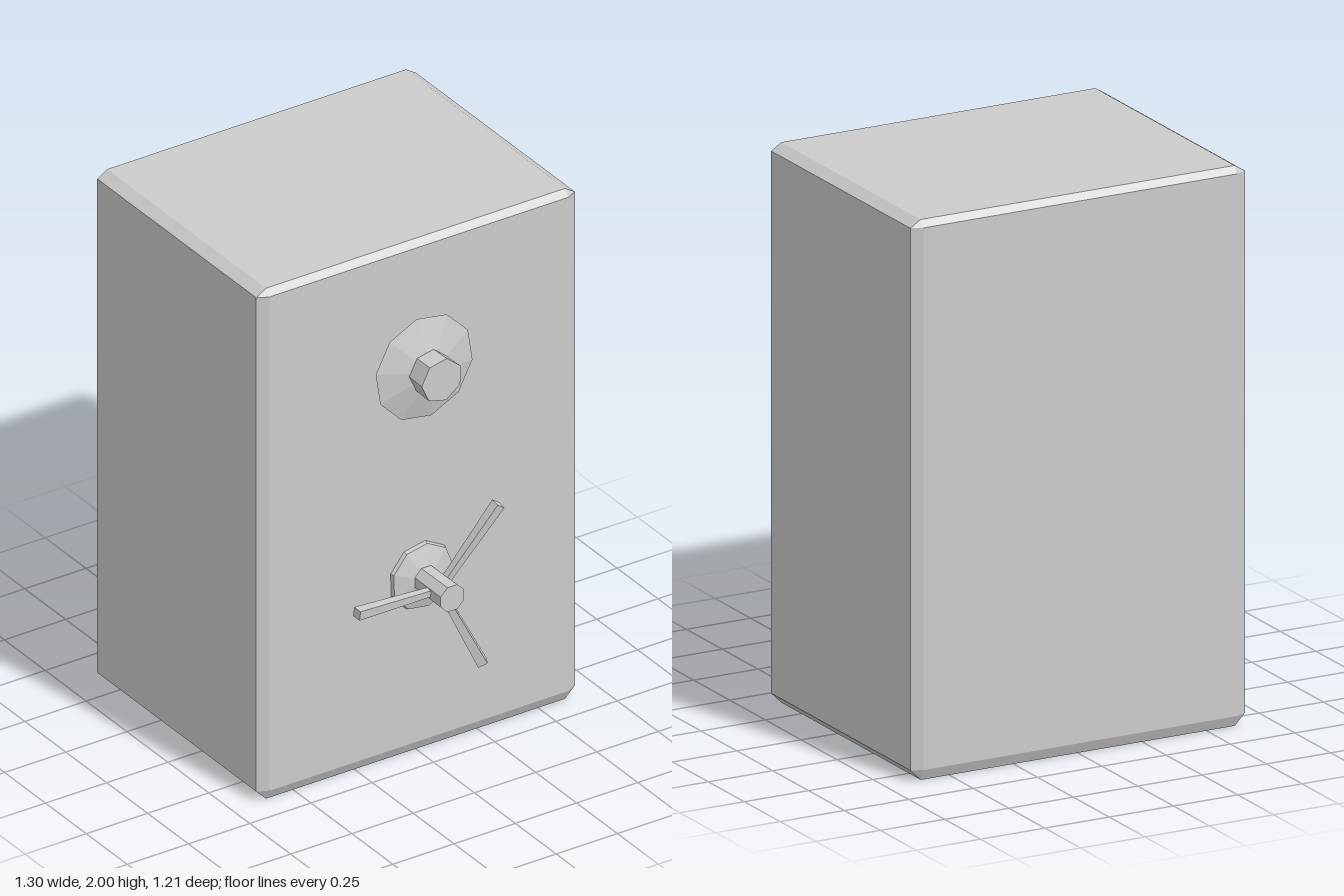
import * as THREE from 'three';
import { ConvexGeometry } from 'three/addons/geometries/ConvexGeometry.js';

const material = new THREE.MeshStandardMaterial({ color: 0xcccccc, flatShading: true });

function add(parent, name, geometry) {
  const mesh = new THREE.Mesh(geometry, material);
  mesh.name = name;
  parent.add(mesh);
  return mesh;
}

// Turned part facing +z: profile is [radius, z] pairs from back to front
function turned(profile, sides, spin = 0) {
  const points = profile.map(([r, z]) => new THREE.Vector2(r, z));
  return new THREE.LatheGeometry(points, sides).rotateY(spin).rotateX(Math.PI / 2);
}

// Box with bevelled edges: each corner is cut into three points
function bevelledBox() {
  const points = [];
  for (const sx of [-1, 1]) for (const top of [0, 1]) for (const front of [0, 1]) {
    const x = sx * 0.65, y = top ? 2 : 0, z = front ? 0.41 : -0.6;
    const xi = sx * 0.61, yi = top ? 1.975 : 0.04, zi = front ? 0.39 : -0.582;
    points.push(
      new THREE.Vector3(x, yi, zi),
      new THREE.Vector3(xi, y, zi),
      new THREE.Vector3(xi, yi, z)
    );
  }
  return new ConvexGeometry(points);
}

// Thin four-sided bar between two points, slightly thicker at its tip
function bar(from, to) {
  const a = new THREE.Vector3(...from), b = new THREE.Vector3(...to);
  const dir = b.clone().sub(a);
  const geometry = new THREE.CylinderGeometry(0.025, 0.017, dir.length(), 4).rotateY(Math.PI / 4);
  geometry.applyQuaternion(
    new THREE.Quaternion().setFromUnitVectors(new THREE.Vector3(0, 1, 0), dir.normalize())
  );
  const mid = a.add(b).multiplyScalar(0.5);
  return geometry.translate(mid.x, mid.y, mid.z);
}

export function createModel() {
  const group = new THREE.Group();
  group.name = 'safe';
  add(group, 'body', bevelledBox());

  // Combination dial: flared plate and knob
  const dial = new THREE.Group();
  dial.name = 'dial';
  dial.position.set(0.005, 1.515, 0);
  group.add(dial);
  add(dial, 'dialPlate', turned([[0, 0.405], [0.15, 0.405], [0.2, 0.435], [0.08, 0.465], [0, 0.465]], 10, 0.15));
  add(dial, 'dialKnob', turned([[0, 0.45], [0.08, 0.45], [0.083, 0.545], [0, 0.545]], 7, 0.2));

  // Three-spoke handle
  const handle = new THREE.Group();
  handle.name = 'handle';
  handle.position.set(0.007, 0.69, 0);
  group.add(handle);
  add(handle, 'handlePlate', turned([[0, 0.405], [0.13, 0.405], [0.125, 0.425], [0.05, 0.445], [0, 0.445]], 9, 0.2));
  add(handle, 'handleHub', turned([[0, 0.43], [0.05, 0.43], [0.052, 0.605], [0, 0.605]], 8, Math.PI / 8));
  const tips = [[-0.357, 0.03, 0.556], [0.208, 0.29, 0.575], [0.15, -0.32, 0.563]];
  for (const tip of tips) {
    add(handle, 'handleSpoke', bar([tip[0] * 0.08, tip[1] * 0.08, 0.53], tip));
  }
  return group;
}
